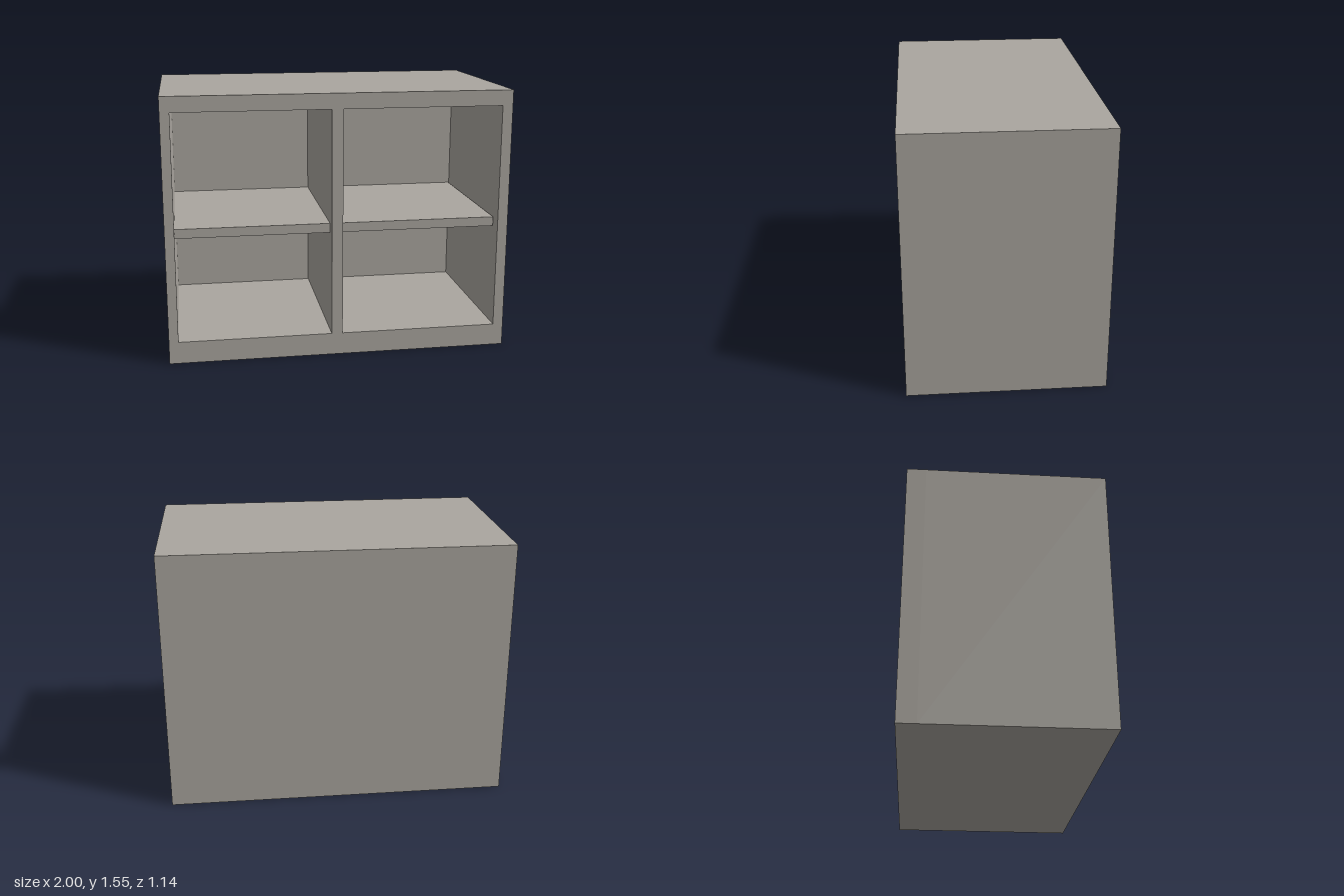
import * as THREE from 'three';

const W = 2, H = 1.55, FRONT = 0.57, BACK = -0.57, INNER_BACK = -0.46;
const BOTTOM = 0.13, TOP = 1.46;           // opening heights
const SHELF_Y0 = 0.73, SHELF_Y1 = 0.785, SHELF_FRONT = 0.5;
const BAYS = [
  { side: 'right', x0: -0.945, x1: -0.05, shelfEnd: -0.05 },
  { side: 'left', x0: 0.015, x1: 0.94, shelfEnd: 0.935 },
];

function rect(path, x0, y0, x1, y1) {
  path.moveTo(x0, y0);
  path.lineTo(x1, y0);
  path.lineTo(x1, y1);
  path.lineTo(x0, y1);
  path.closePath();
  return path;
}

export function createModel() {
  const group = new THREE.Group();
  group.name = 'shelfCabinet';
  const material = new THREE.MeshStandardMaterial({ color: 0xaaa69f });
  material.name = 'warmGrey';

  const add = (name, geometry, x, y, z) => {
    const mesh = new THREE.Mesh(geometry, material);
    mesh.name = name;
    mesh.position.set(x, y, z);
    group.add(mesh);
  };
  const addBox = (name, x0, x1, y0, y1, z0, z1) =>
    add(name, new THREE.BoxGeometry(x1 - x0, y1 - y0, z1 - z0),
      (x0 + x1) / 2, (y0 + y1) / 2, (z0 + z1) / 2);

  // Carcass: outer walls and divider around two open bays
  const outline = rect(new THREE.Shape(), -W / 2, 0, W / 2, H);
  for (const b of BAYS) outline.holes.push(rect(new THREE.Path(), b.x0, BOTTOM, b.x1, TOP));
  add('carcass', new THREE.ExtrudeGeometry(outline, {
    depth: FRONT - INNER_BACK, bevelEnabled: false,
  }), 0, 0, INNER_BACK);

  // Closed back
  addBox('backPanel', -W / 2, W / 2, 0, H, BACK, INNER_BACK);

  // One recessed shelf per bay
  for (const b of BAYS) {
    addBox(`${b.side}Shelf`, b.x0, b.shelfEnd, SHELF_Y0, SHELF_Y1, INNER_BACK, SHELF_FRONT);
  }
  return group;
}
